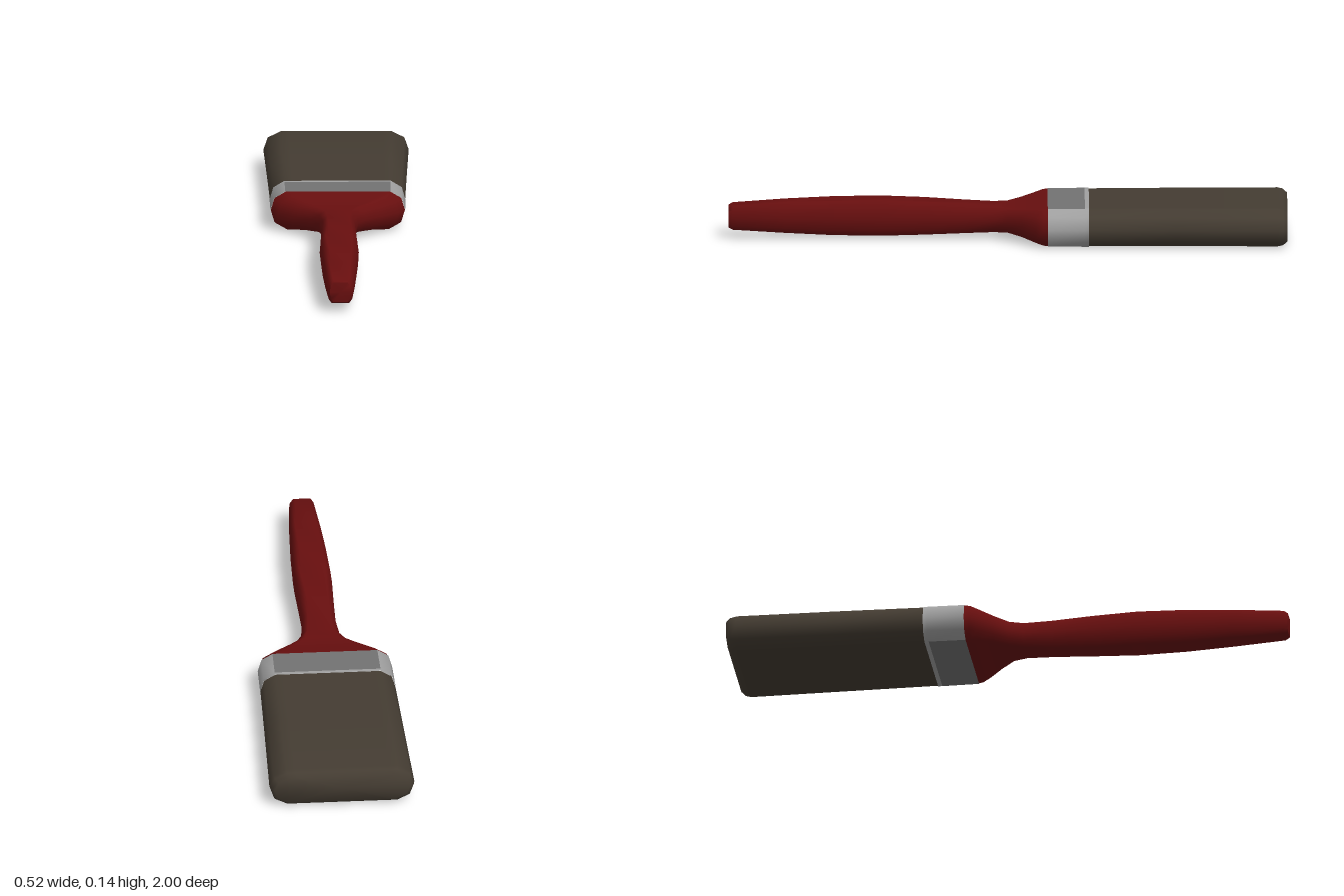
import * as THREE from 'three';
import { toCreasedNormals } from 'three/addons/utils/BufferGeometryUtils.js';

const SIDES = 14;

// Flat-topped cross-section with chamfered sides: half width a, half height b, corner inset c
function section([z, a, b, c, cy]) {
  const e = a - c, m = a - 0.25 * c, f = 0.85 * e, h = 0.65 * b;
  const upper = [[a, 0], [m, h], [e, b], [f, b], [-f, b], [-e, b], [-m, h]];
  return [...upper, ...upper.map(([x, y]) => [-x, -y])]
    .map(([x, y]) => [x, y + cy, z]);
}

// Skin the stations (listed from front to back); keep(side, span) picks faces
function loft(stations, { frontCap = false, backCap = false, keep = () => true } = {}) {
  const rings = stations.map(section);
  const pos = [];
  const tri = (...pts) => pts.forEach((p) => pos.push(...p));
  for (let s = 0; s < rings.length - 1; s++) {
    for (let i = 0; i < SIDES; i++) {
      if (!keep(i, s)) continue;
      const j = (i + 1) % SIDES, p = rings[s], q = rings[s + 1];
      tri(p[i], q[i], q[j]);
      tri(p[i], q[j], p[j]);
    }
  }
  const cap = (ring, station, front) => {
    const centre = [0, station[4], station[0]];
    for (let i = 0; i < SIDES; i++) {
      const j = (i + 1) % SIDES;
      if (front) tri(centre, ring[i], ring[j]);
      else tri(centre, ring[j], ring[i]);
    }
  };
  if (frontCap) cap(rings[0], stations[0], true);
  if (backCap) cap(rings.at(-1), stations.at(-1), false);
  const geo = new THREE.BufferGeometry();
  geo.setAttribute('position', new THREE.Float32BufferAttribute(pos, 3));
  return toCreasedNormals(geo, 1.05);
}

export function createModel() {
  const group = new THREE.Group();
  const material = (name, color) => {
    const m = new THREE.MeshStandardMaterial({ color });
    m.name = name;
    return m;
  };
  const red = material('red paint', 0x680f0f);
  const steel = material('bright steel', 0xa0a0a0);
  const dullSteel = material('dull steel', 0x727272);
  const hair = material('dark bristle', 0x443c32);

  const add = (name, geo, mat) => {
    const mesh = new THREE.Mesh(geo, mat);
    mesh.name = name;
    group.add(mesh);
  };

  // Handle: slim grip swelling in the middle, flaring into the shoulders
  add('handle', loft([
    [1.0, 0.038, 0.036, 0.012, 0.075],
    [0.985, 0.046, 0.044, 0.015, 0.075],
    [0.8, 0.058, 0.055, 0.02, 0.076],
    [0.63, 0.066, 0.062, 0.022, 0.076],
    [0.46, 0.07, 0.064, 0.022, 0.076],
    [0.3, 0.065, 0.06, 0.022, 0.075],
    [0.15, 0.062, 0.053, 0.022, 0.073],
    [0.05, 0.072, 0.047, 0.024, 0.072],
    [0.0, 0.1, 0.045, 0.03, 0.072],
    [-0.05, 0.158, 0.05, 0.04, 0.071],
    [-0.1, 0.215, 0.06, 0.05, 0.069],
    [-0.125, 0.235, 0.066, 0.053, 0.069],
    [-0.145, 0.24, 0.068, 0.053, 0.069],
  ], { frontCap: true }), red);

  // Ferrule: bright sides and rear rim, duller broad faces
  const ferrule = [
    [-0.142, 0.241, 0.069, 0.053, 0.069],
    [-0.275, 0.243, 0.069, 0.053, 0.069],
    [-0.29, 0.243, 0.069, 0.053, 0.069],
  ];
  const broad = (i, s) => s === 0 && i % 7 >= 2 && i % 7 <= 4;
  add('ferruleSides', loft(ferrule, { keep: (i, s) => !broad(i, s) }), steel);
  add('ferruleFaces', loft(ferrule, { keep: broad }), dullSteel);

  // Bristles: widening block with a softened tip
  add('bristles', loft([
    [-0.288, 0.242, 0.067, 0.053, 0.069],
    [-0.6, 0.25, 0.067, 0.055, 0.07],
    [-0.965, 0.26, 0.067, 0.06, 0.07],
    [-0.985, 0.257, 0.063, 0.06, 0.07],
    [-1.0, 0.243, 0.05, 0.055, 0.07],
  ], { backCap: true }), hair);

  return group;
}
